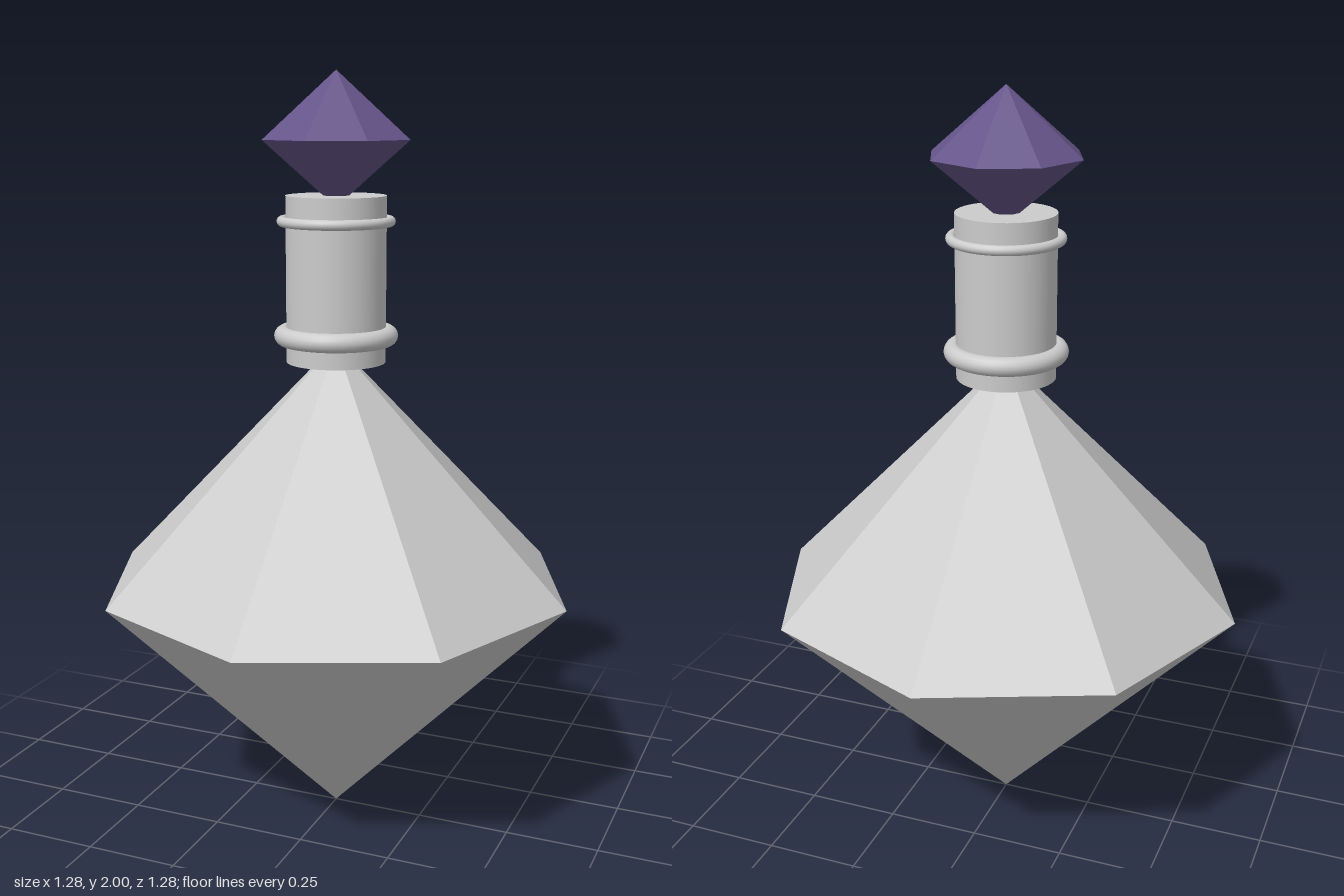
import * as THREE from 'three';

const glass = new THREE.MeshStandardMaterial({ color: 0xcccccc });
const facetedGlass = new THREE.MeshStandardMaterial({ color: 0xcccccc, flatShading: true });
const gem = new THREE.MeshStandardMaterial({ color: 0x655489, flatShading: true });

export function createModel() {
  const model = new THREE.Group();
  model.name = 'potionBottle';

  const add = (name, geometry, material, y) => {
    const mesh = new THREE.Mesh(geometry, material);
    mesh.name = name;
    mesh.position.y = y;
    model.add(mesh);
  };

  // Eight-sided double pyramid: a sphere with only one ring of vertices
  const bipyramid = (radius, halfHeight) =>
    new THREE.SphereGeometry(radius, 8, 2).scale(1, halfHeight / radius, 1);

  // Ring lying flat around the neck
  const ring = (radius, tube) =>
    new THREE.TorusGeometry(radius, tube, 16, 64).rotateX(Math.PI / 2);

  // Faceted bottle body
  add('body', bipyramid(0.64, 0.655), facetedGlass, 0.655);

  // Closed neck with a thick lower and a thin upper ring
  add('neck', new THREE.CylinderGeometry(0.13, 0.13, 0.43, 48), glass, 1.475);
  add('lowerRing', ring(0.137, 0.025), glass, 1.33);
  add('upperRing', ring(0.14, 0.013), glass, 1.625);

  // Cut gem stopper, its tip sunk into the neck
  add('stopper', bipyramid(0.2, 0.17), gem, 1.83);

  return model;
}
